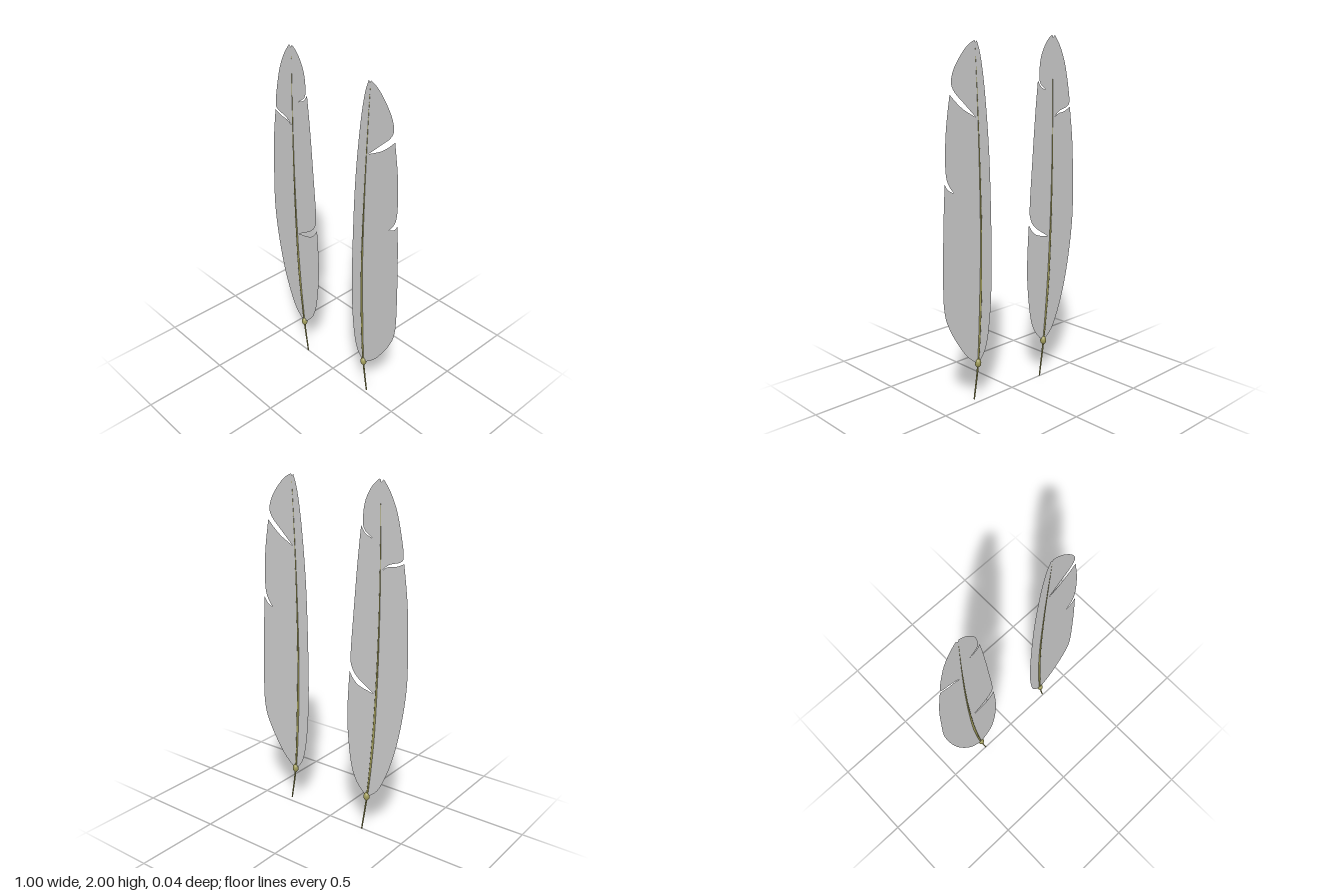
import * as THREE from 'three';

const vaneMaterial = new THREE.MeshStandardMaterial({ color: 0xcccccc, side: THREE.DoubleSide });
const quillMaterial = new THREE.MeshStandardMaterial({ color: 0xa09c5a });

// Each vane is a list of smooth edge runs; a sharp corner lies between runs.
const leftmostFeather = {
  shaft: [[-0.23, 0], [-0.262, 0.217], [-0.294, 0.546], [-0.31, 0.84], [-0.32, 1.235], [-0.32, 1.6], [-0.315, 1.94]],
  bead: [-0.26, 0.22],
  edge: [
    // outer edge up to the upper split
    [[-0.262, 0.217], [-0.34, 0.29], [-0.415, 0.466], [-0.468, 0.68], [-0.502, 0.94], [-0.5, 1.18], [-0.49, 1.39], [-0.463, 1.595]],
    [[-0.415, 1.574], [-0.365, 1.565], [-0.33, 1.542]],
    // outer edge to the notched tip
    [[-0.373, 1.578], [-0.44, 1.6], [-0.458, 1.627], [-0.447, 1.71], [-0.415, 1.845], [-0.373, 1.94], [-0.33, 2]],
    [[-0.315, 1.985]],
    // inner edge, tip to small split
    [[-0.304, 2], [-0.257, 1.955], [-0.22, 1.88], [-0.209, 1.79], [-0.22, 1.74], [-0.267, 1.702]],
    [[-0.225, 1.722], [-0.198, 1.76]],
    // inner edge, small split to deep split
    [[-0.177, 1.553], [-0.156, 1.288], [-0.14, 1.065], [-0.146, 0.986], [-0.188, 0.927], [-0.294, 0.858]],
    [[-0.204, 0.88], [-0.161, 0.911], [-0.133, 0.954]],
    [[-0.122, 0.758], [-0.124, 0.6], [-0.146, 0.413], [-0.177, 0.313], [-0.22, 0.254], [-0.262, 0.217]],
  ],
};

const rightmostFeather = {
  shaft: [[0.293, 0.027], [0.262, 0.228], [0.241, 0.546], [0.23, 0.917], [0.235, 1.34], [0.246, 1.685], [0.257, 1.945]],
  bead: [0.262, 0.235],
  edge: [
    // narrow side up to the notched tip
    [[0.262, 0.228], [0.204, 0.307], [0.172, 0.466], [0.156, 0.705], [0.156, 1.023], [0.167, 1.394], [0.193, 1.712], [0.22, 1.897], [0.246, 1.982]],
    [[0.256, 1.972]],
    // wide side, tip to long split
    [[0.267, 1.982], [0.325, 1.945], [0.394, 1.86], [0.42, 1.786], [0.4, 1.733], [0.341, 1.675], [0.257, 1.595]],
    [[0.336, 1.638], [0.389, 1.68], [0.431, 1.722]],
    // wide side, long split to short split
    [[0.458, 1.553], [0.468, 1.394], [0.458, 1.288], [0.415, 1.219]],
    [[0.452, 1.24], [0.474, 1.272]],
    [[0.489, 1.023], [0.498, 0.705], [0.489, 0.572], [0.458, 0.482], [0.405, 0.387], [0.341, 0.297], [0.262, 0.228]],
  ],
};

function makeVane(edge) {
  const shape = new THREE.Shape();
  edge.forEach((run, i) => {
    const points = run.map(([x, y]) => new THREE.Vector2(x, y));
    if (i === 0) shape.moveTo(points[0].x, points[0].y);
    if (i === 0) points.shift();
    if (points.length > 1) shape.splineThru(points);
    else shape.lineTo(points[0].x, points[0].y);
  });
  const vane = new THREE.Mesh(new THREE.ShapeGeometry(shape, 6), vaneMaterial);
  vane.name = 'vane';
  return vane;
}

// Round shaft, thickest in the lower half and narrowing to both ends
function makeShaft(points) {
  const curve = new THREE.CatmullRomCurve3(points.map(([x, y]) => new THREE.Vector3(x, y, 0)));
  const segments = 60, sides = 8;
  const geometry = new THREE.TubeGeometry(curve, segments, 1, sides);
  const position = geometry.attributes.position;
  const v = new THREE.Vector3();
  for (let i = 0; i < position.count; i++) {
    const t = Math.floor(i / (sides + 1)) / segments;
    const radius = t < 0.3 ? 0.004 + 0.01 * t : 0.007 - 0.0065 * (t - 0.3) / 0.7;
    const centre = curve.getPointAt(t);
    v.fromBufferAttribute(position, i).sub(centre).multiplyScalar(radius).add(centre);
    position.setXYZ(i, v.x, v.y, v.z);
  }
  const shaft = new THREE.Mesh(geometry, quillMaterial);
  shaft.name = 'shaft';
  return shaft;
}

function makeFeather(name, { shaft, bead, edge }) {
  const feather = new THREE.Group();
  feather.name = name;
  // Oval bead where the vane meets the bare quill
  const knot = new THREE.Mesh(new THREE.SphereGeometry(0.018, 20, 14), quillMaterial);
  knot.name = 'bead';
  knot.scale.y = 1.4;
  knot.position.set(bead[0], bead[1], 0);
  feather.add(makeVane(edge), makeShaft(shaft), knot);
  return feather;
}

export function createModel() {
  const model = new THREE.Group();
  model.name = 'featherPair';
  model.add(makeFeather('rightFeather', leftmostFeather), makeFeather('leftFeather', rightmostFeather));
  return model;
}
